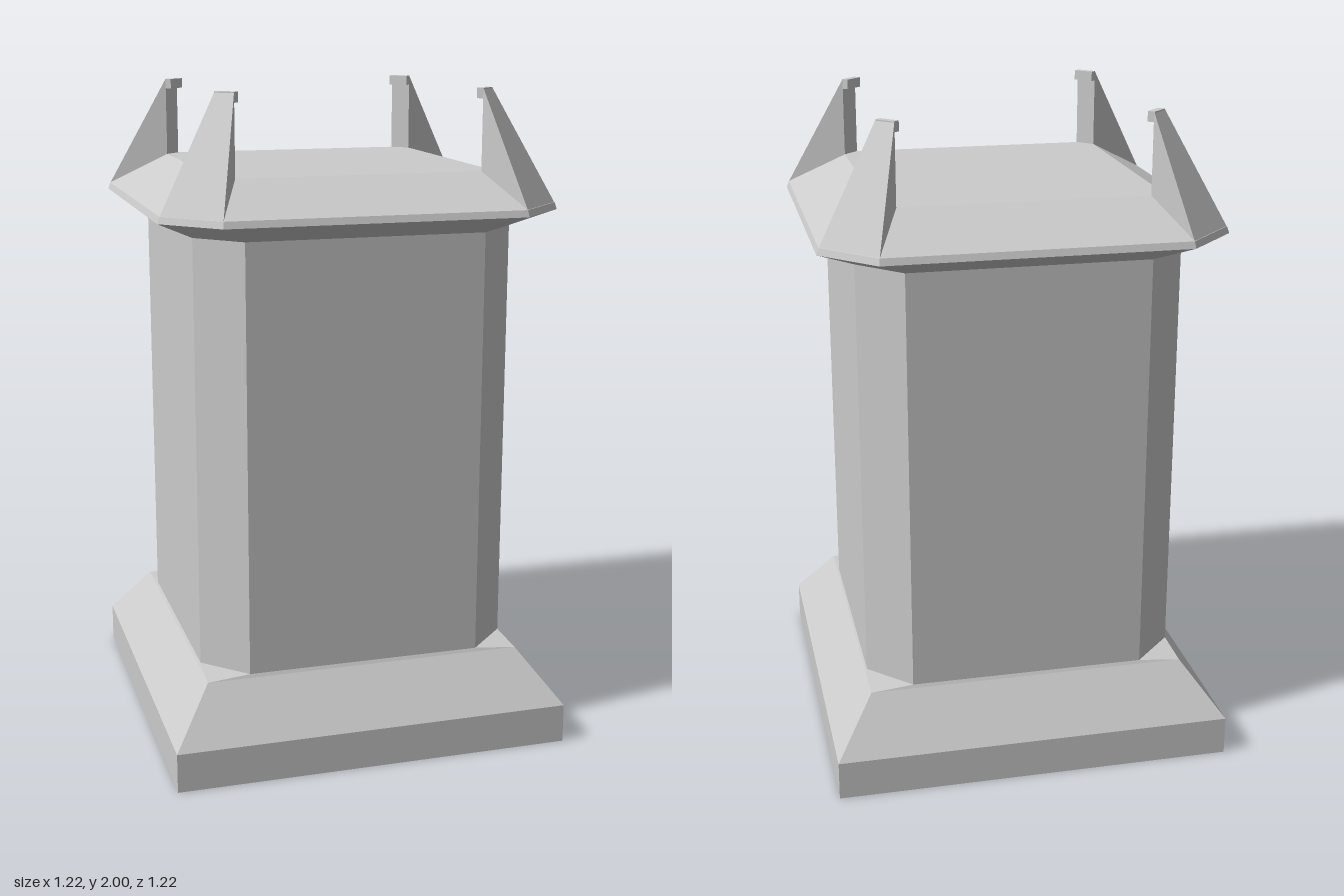
import * as THREE from 'three';

const material = new THREE.MeshStandardMaterial({ color: 0xcccccc, flatShading: true });

// Mesh from flat polygons (corners counter-clockwise seen from outside)
function polyMesh(name, polygons) {
  const pos = [];
  const a = new THREE.Vector3(), b = new THREE.Vector3(), c = new THREE.Vector3();
  for (const p of polygons) {
    for (let i = 1; i < p.length - 1; i++) {
      a.set(...p[0]); b.set(...p[i]); c.set(...p[i + 1]);
      const area = b.clone().sub(a).cross(c.clone().sub(a)).length();
      if (area > 1e-8) pos.push(...p[0], ...p[i], ...p[i + 1]);
    }
  }
  const g = new THREE.BufferGeometry();
  g.setAttribute('position', new THREE.Float32BufferAttribute(pos, 3));
  g.computeVertexNormals();
  const mesh = new THREE.Mesh(g, material);
  mesh.name = name;
  return mesh;
}

// Square ring of half-width w whose corners are cut off at c (c = w: plain square)
const ring = ([y, w, c]) => [
  [c, y, w], [w, y, c], [w, y, -c], [c, y, -w],
  [-c, y, -w], [-w, y, -c], [-w, y, c], [-c, y, w],
];

// Closed solid through a stack of rings
function loft(name, sections) {
  const rings = sections.map(ring);
  const polygons = [[...rings[0]].reverse(), rings[rings.length - 1]];
  for (let r = 0; r < rings.length - 1; r++) {
    const lo = rings[r], hi = rings[r + 1];
    for (let i = 0; i < 8; i++) {
      const j = (i + 1) % 8;
      polygons.push([lo[i], lo[j], hi[j], hi[i]]);
    }
  }
  return polyMesh(name, polygons);
}

// Tapered corner horn with a small inward lip, leaning along +z
function createHorn() {
  const horn = new THREE.Group();
  horn.name = 'cornerHorn';
  const A = [-0.105, 1.663, 0.734], B = [0.105, 1.663, 0.734];
  const C = [0.032, 1.75, 0.555], D = [-0.032, 1.75, 0.555];
  const E = [-0.032, 2, 0.555], F = [0.032, 2, 0.555];
  horn.add(polyMesh('hornBody', [[A, B, F, E], [C, D, E, F], [D, A, E], [B, C, F], [A, D, C, B]]));
  const lip = new THREE.Mesh(new THREE.BoxGeometry(0.064, 0.03, 0.022), material);
  lip.name = 'hornLip';
  lip.position.set(0, 1.985, 0.546);
  horn.add(lip);
  return horn;
}

export function createModel() {
  const model = new THREE.Group();
  model.name = 'pedestal';

  // Square plinth with sloped shoulders
  model.add(loft('base', [
    [0, 0.61, 0.61], [0.12, 0.61, 0.61], [0.28, 0.49, 0.49], [0.29, 0.485, 0.36],
  ]));

  // Shaft with chamfered corners
  model.add(loft('column', [[0.29, 0.485, 0.36], [1.59, 0.485, 0.36]]));

  // Flared eaves, thin rim and shallow hipped roof
  model.add(loft('roof', [
    [1.59, 0.485, 0.36], [1.645, 0.6, 0.447], [1.665, 0.593, 0.445], [1.76, 0.415, 0.37],
  ]));

  // One horn on each corner
  for (let k = 0; k < 4; k++) {
    const horn = createHorn();
    horn.rotation.y = Math.PI / 4 + k * Math.PI / 2;
    model.add(horn);
  }
  return model;
}
